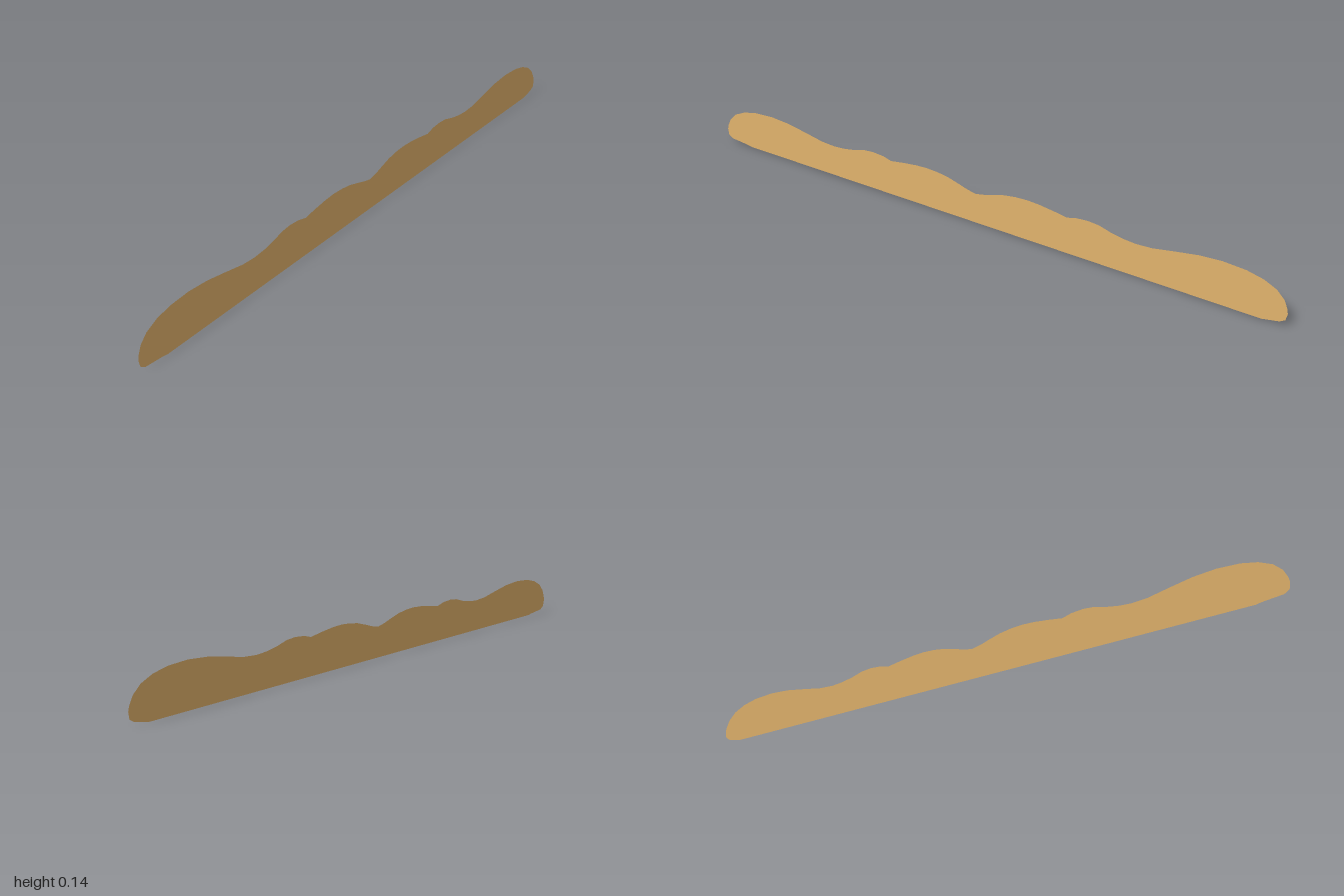
import * as THREE from 'three';

// Thin scalloped crest panel, standing on edge along z with a slight lean and yaw.
export function createModel() {
  const model = new THREE.Group();

  // Half of the mirrored top edge, from the centre notch to the rounded end: [z, y]
  const half = [
    [0.03, 0.104], [0.06, 0.113], [0.1, 0.124], [0.14, 0.13], [0.18, 0.132], [0.22, 0.13],
    [0.27, 0.124], [0.315, 0.117], [0.345, 0.125], [0.385, 0.128], [0.42, 0.125],
    [0.46, 0.114], [0.5, 0.107], [0.54, 0.104], [0.59, 0.107], [0.66, 0.12],
    [0.73, 0.132], [0.8, 0.137], [0.87, 0.133], [0.92, 0.122], [0.96, 0.104],
    [0.985, 0.08], [0.997, 0.055], [1, 0.04], [0.996, 0.02], [0.98, 0.01],
  ];
  const outline = [
    [0, 0.098], ...half, [0.915, 0.004], [0.9, 0.001],
    [-0.93, 0], ...half.map(([z, y]) => [-z, y]).reverse(),
  ];
  const shape = new THREE.Shape(outline.map(([z, y]) => new THREE.Vector2(-z, y)));
  const geometry = new THREE.ShapeGeometry(shape);
  geometry.rotateY(Math.PI / 2);

  // Shear the flat sheet for its lean (with height) and yaw (with length)
  const p = geometry.attributes.position;
  for (let i = 0; i < p.count; i++) {
    p.setX(i, 0.0025 + 0.0053 * p.getZ(i) - 0.055 * p.getY(i));
  }
  geometry.computeVertexNormals();

  const panel = new THREE.Mesh(
    geometry,
    new THREE.MeshStandardMaterial({ color: 0xdeb06a, side: THREE.DoubleSide })
  );
  panel.name = 'scallopedPanel';
  model.add(panel);
  return model;
}
